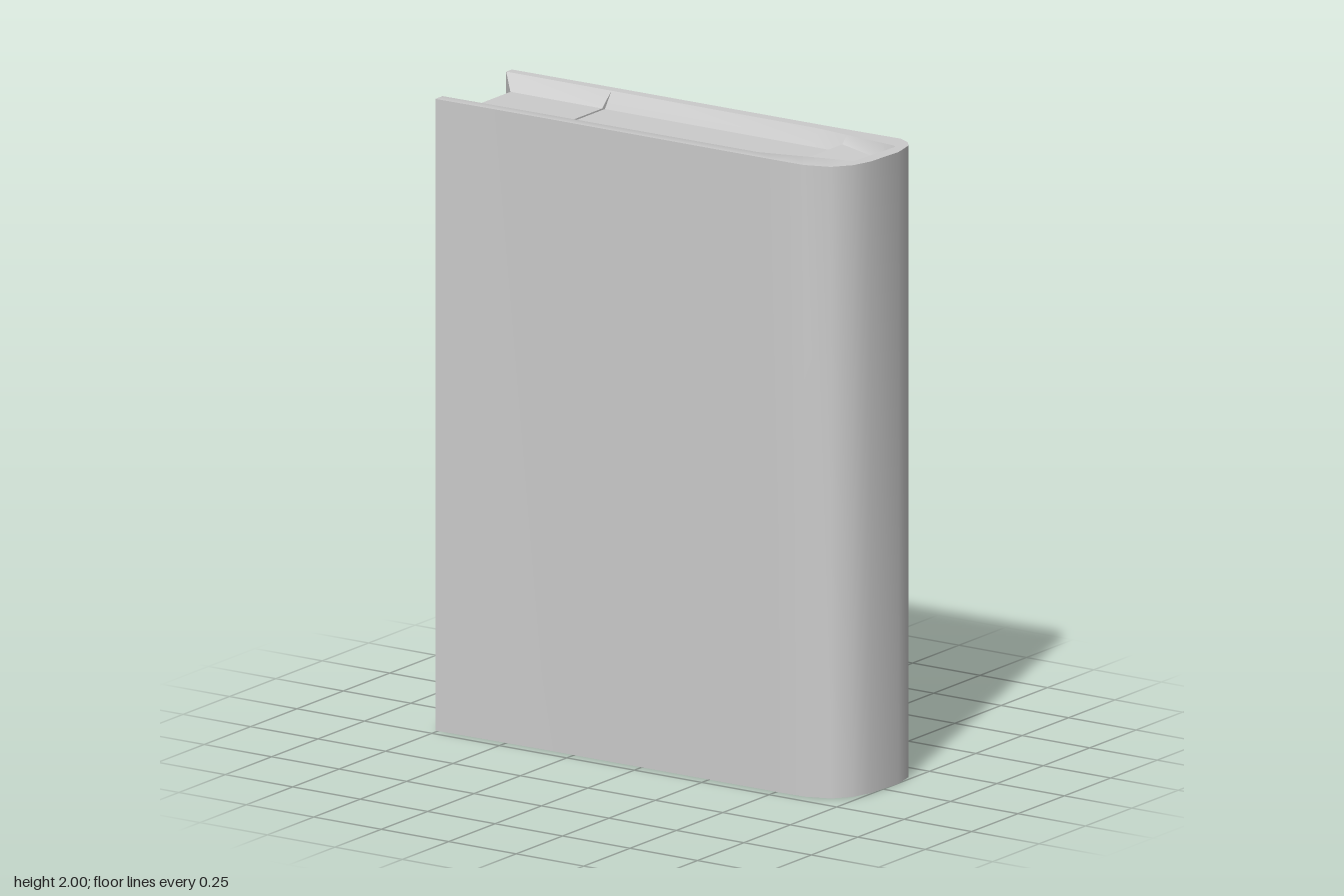
import * as THREE from 'three';
import { toCreasedNormals } from 'three/addons/utils/BufferGeometryUtils.js';

const HEIGHT = 2;
const material = new THREE.MeshStandardMaterial({ color: 0xcccccc, side: THREE.DoubleSide });

// Paths run from the back fore edge, round the spine, to the front fore edge.
// Outside of the cover: x, z
const OUTER = [
  [-.76, -.195], [-.37, -.2], [-.37, -.2], [.4, -.204], [.51, -.206], [.51, -.206],
  [.67, -.21], [.71, -.19], [.735, -.16], [.753, -.08],
  [.745, .06], [.725, .125], [.68, .18], [.6, .208],
  [.51, .21], [.51, .21], [.4, .21], [-.37, .211], [-.37, .211], [-.76, .217],
];
// Inner edge of the cover rim: x, z
const RIM = [
  [-.76, -.165], [-.37, -.165], [-.37, -.165], [.4, -.165], [.51, -.153], [.51, -.153],
  [.66, -.137], [.69, -.134], [.705, -.13], [.711, -.12],
  [.7, .08], [.695, .085], [.68, .09], [.6, .11],
  [.51, .135], [.51, .135], [.4, .165], [-.37, .172], [-.37, .172], [-.76, .178],
];
// Edge of the sunken pages: x, z, depth below the rim
const PAGES = [
  [-.71, -.115, .045], [-.37, -.115, .045], [-.37, -.13, .05], [.4, -.13, .05], [.51, -.13, .05],
  [.51, -.13, .025], [.66, -.125, .05], [.68, -.122, .055], [.69, -.118, .06], [.695, -.11, .06],
  [.685, .07, .06], [.68, .073, .06], [.67, .075, .055], [.6, .08, .045],
  [.51, .08, .025], [.51, .08, .05], [.4, .08, .05], [-.37, .08, .05], [-.37, .1, .045], [-.71, .1, .045],
];

// Collects four-cornered faces, leaving out empty triangles
function faceBuilder() {
  const pos = [];
  const tri = new THREE.Triangle();
  const add = (a, b, c) => {
    if (tri.set(a, b, c).getArea() > 1e-8) for (const p of [a, b, c]) pos.push(p.x, p.y, p.z);
  };
  return {
    quad(a, b, c, d) { add(a, b, c); add(a, c, d); },
    geometry(crease) {
      const g = new THREE.BufferGeometry();
      g.setAttribute('position', new THREE.Float32BufferAttribute(pos, 3));
      return toCreasedNormals(g, crease);
    },
  };
}

const ring = (path, top) => path.map(([x, z, depth = 0]) =>
  new THREE.Vector3(x, top ? HEIGHT - depth : depth, z));

function mesh(name, geometry) {
  const m = new THREE.Mesh(geometry, material);
  m.name = name;
  return m;
}

function buildCover() {
  const f = faceBuilder();
  // Bottom slope, bottom rim, outside wall, top rim, top slope
  const rings = [ring(PAGES, false), ring(RIM, false), ring(OUTER, false),
    ring(OUTER, true), ring(RIM, true), ring(PAGES, true)];
  const n = OUTER.length;
  for (let j = 0; j < rings.length - 1; j++)
    for (let i = 0; i < n - 1; i++)
      f.quad(rings[j][i], rings[j + 1][i], rings[j + 1][i + 1], rings[j][i + 1]);
  // Board edges and bevels beside the fore edge
  for (const [a, b, i] of [[2, 1, 0], [1, 0, 0], [0, 1, n - 1], [1, 2, n - 1]])
    f.quad(rings[a][i], rings[b][i], rings[5 - b][i], rings[5 - a][i]);
  return mesh('cover', f.geometry(0.6));
}

function buildPages() {
  const f = faceBuilder();
  const low = ring(PAGES, false), high = ring(PAGES, true);
  const n = PAGES.length;
  // Sunken top and bottom, joining back to front
  for (let i = 0; i < n / 2 - 1; i++) {
    const k = n - 1 - i;
    f.quad(high[i], high[k], high[k - 1], high[i + 1]);
    f.quad(low[i], low[i + 1], low[k - 1], low[k]);
  }
  // Fore edge
  f.quad(low[0], low[n - 1], high[n - 1], high[0]);
  return mesh('pages', f.geometry(0.1));
}

// Faint raised panel on the back next to the spine
function buildPanel(name, y0, y1, rise) {
  const shape = new THREE.Shape([
    [.4, .2], [.5, .206 + rise * .7], [.6, .208 + rise], [.68, .207 + rise * .3], [.7, .192], [.6, .19],
  ].map(([x, y]) => new THREE.Vector2(x, y)));
  const g = new THREE.ExtrudeGeometry(shape, { depth: y1 - y0, bevelEnabled: false });
  g.rotateX(-Math.PI / 2).translate(0, y0, 0);
  return mesh(name, toCreasedNormals(g, 0.6));
}

export function createModel() {
  const book = new THREE.Group();
  book.name = 'book';
  book.add(
    buildCover(),
    buildPages(),
    buildPanel('backPanelLong', 0.08, 1.92, 0.006),
    buildPanel('backPanelShort', 0.48, 1.5, 0.012),
  );
  return book;
}
